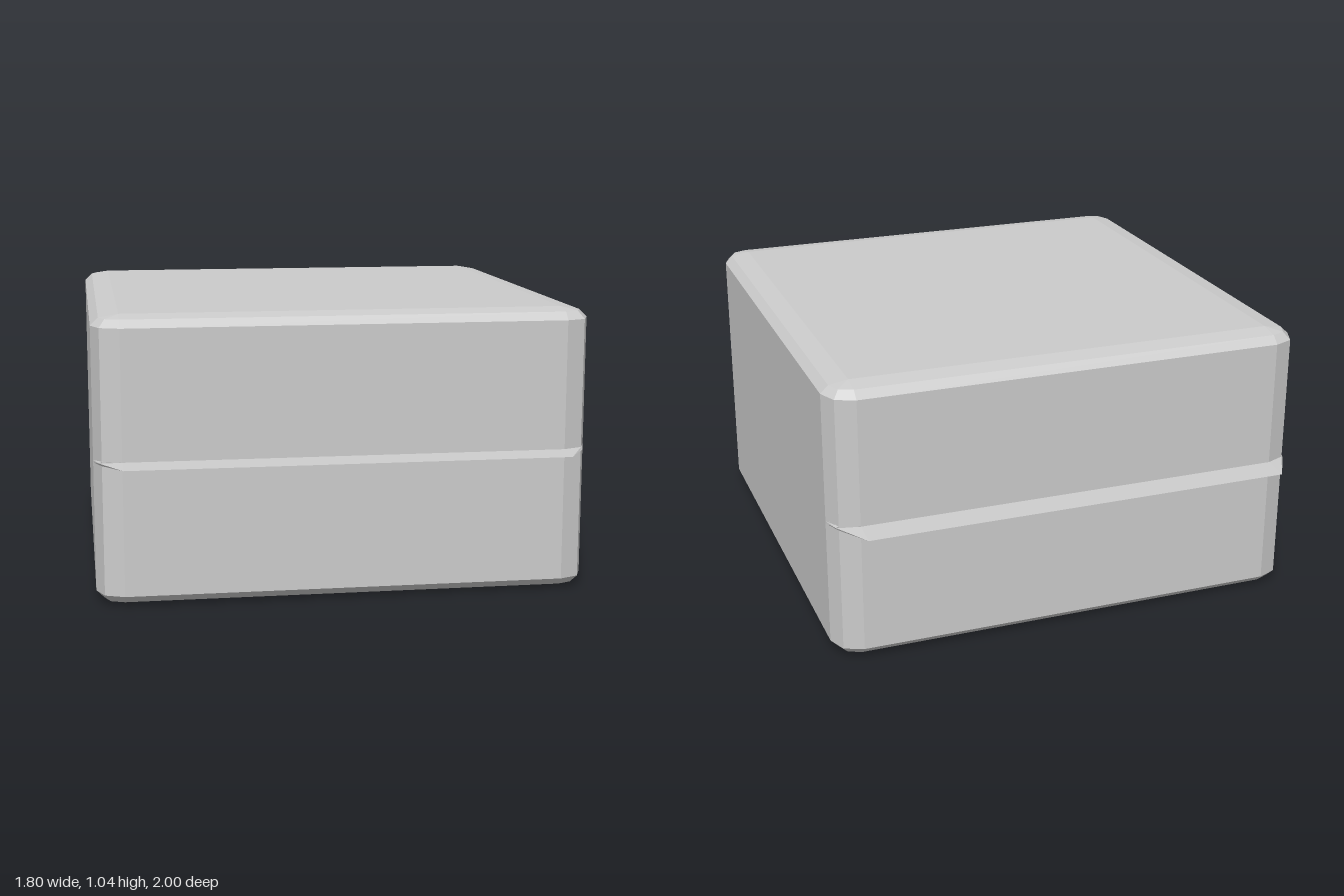
import * as THREE from 'three';

const material = new THREE.MeshStandardMaterial({ color: 0xcccccc, flatShading: true });

// Mirrors one corner's [x, z] points into a full outline running from +x towards +z.
function mirrorOutline(corner) {
  const back = [...corner].reverse();
  return [
    ...corner,
    ...back.map(([x, z]) => [-x, z]),
    ...corner.map(([x, z]) => [-x, -z]),
    ...back.map(([x, z]) => [x, -z]),
  ];
}

// Skins horizontal outlines from bottom to top and closes both ends.
function loft(rows) {
  const pos = [];
  const index = [];
  const n = rows[0].outline.length;
  for (const { y, outline } of rows) for (const [x, z] of outline) pos.push(x, y, z);
  const bottom = pos.length / 3;
  pos.push(0, rows[0].y, 0, 0, rows[rows.length - 1].y, 0);
  const last = (rows.length - 1) * n;
  for (let i = 0; i < n; i++) {
    const j = (i + 1) % n;
    for (let r = 0; r < last; r += n) {
      index.push(r + i, r + n + i, r + j, r + j, r + n + i, r + n + j);
    }
    index.push(bottom, i, j, bottom + 1, last + j, last + i);
  }
  const geometry = new THREE.BufferGeometry();
  geometry.setAttribute('position', new THREE.Float32BufferAttribute(pos, 3));
  geometry.setIndex(index);
  geometry.computeVertexNormals();
  return geometry;
}

// Square with two-step bevelled corners of radius r around a fixed core.
function roundedSquare(r) {
  const core = 0.8;
  const d = r * Math.SQRT1_2;
  return mirrorOutline([[core + r, core], [core + d, core + d], [core, core + r]]);
}

export function createModel() {
  const group = new THREE.Group();

  // Bevelled block
  const profile = [[0, 0], [0.012, 0.071], [0.04, 0.1], [1, 0.1], [1.028, 0.071], [1.04, 0]];
  const body = new THREE.Mesh(
    loft(profile.map(([y, r]) => ({ y, outline: roundedSquare(r) }))), material);
  body.name = 'body';
  group.add(body);

  // Thin seam flange that sticks out at the front and back
  const base = mirrorOutline([[0.9, 0.8], [0.871, 0.871], [0.8, 0.9]]);
  const tip = mirrorOutline([[0.9, 0.8], [0.88, 0.865], [0.8, 1]]);
  const flange = new THREE.Mesh(loft([
    { y: 0.512, outline: base },
    { y: 0.52, outline: tip },
    { y: 0.528, outline: base },
  ]), material);
  flange.name = 'seamFlange';
  group.add(flange);

  return group;
}
